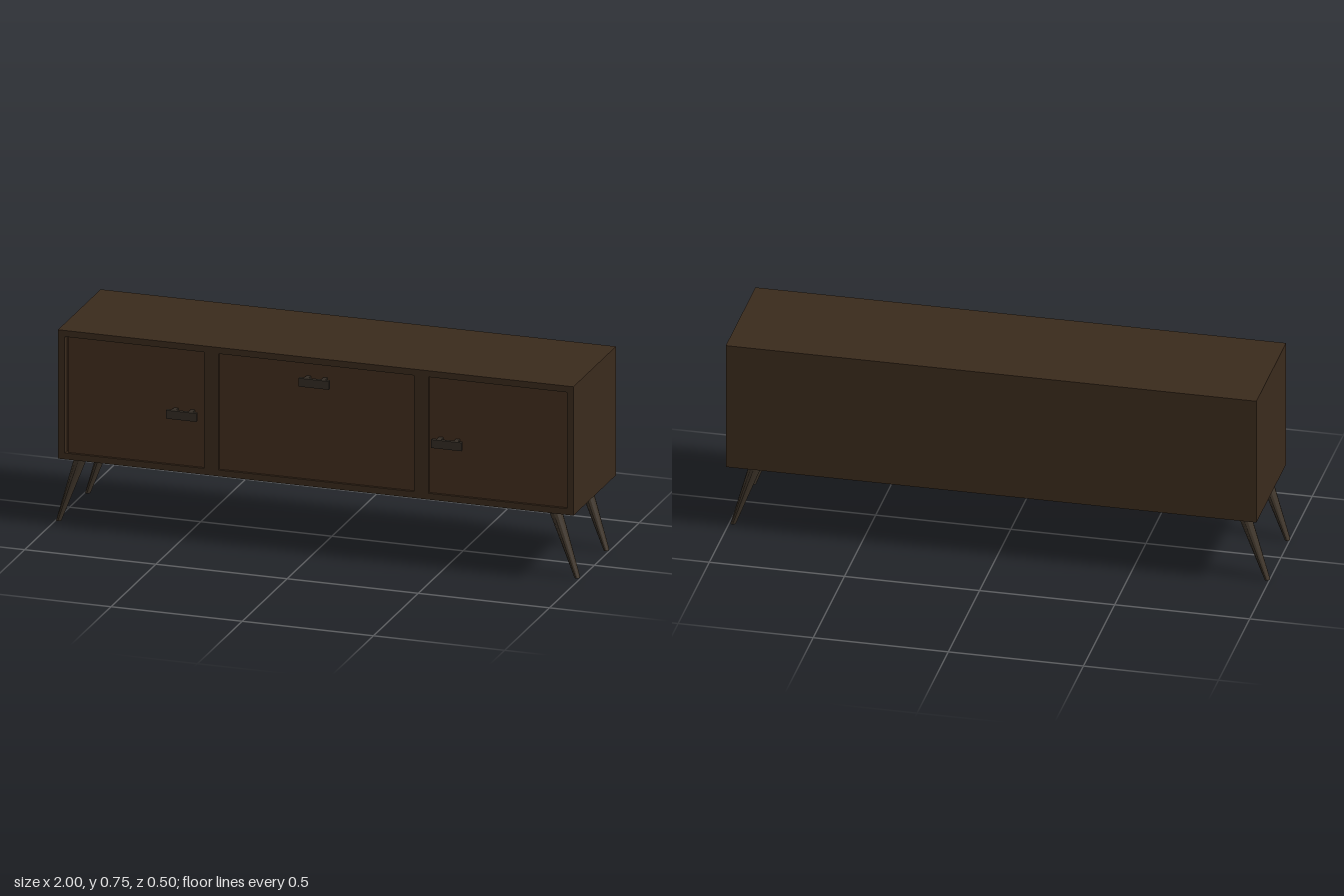
import * as THREE from 'three';

const mat = (color) => new THREE.MeshStandardMaterial({ color, flatShading: true });

export function createModel() {
  const group = new THREE.Group();
  const wood = mat(0x3a2a1c), panelWood = mat(0x422e1e);
  const legWood = mat(0x40362b), metal = mat(0x332c24);

  const add = (name, geometry, material, parent = group) => {
    const mesh = new THREE.Mesh(geometry, material);
    mesh.name = name;
    parent.add(mesh);
    return mesh;
  };
  // Box given by its two extremes on each axis
  const box = (name, [x0, x1], [y0, y1], [z0, z1], material, parent) =>
    add(name, new THREE.BoxGeometry(x1 - x0, y1 - y0, z1 - z0), material, parent)
      .position.set((x0 + x1) / 2, (y0 + y1) / 2, (z0 + z1) / 2);
  const rect = (target, x0, x1, y0, y1) => {
    target.moveTo(x0, y0).lineTo(x1, y0).lineTo(x1, y1).lineTo(x0, y1).closePath();
    return target;
  };

  // Cabinet body behind the front frame
  const X = [-0.967, 0.997], Y = [0.262, 0.753], backZ = 0.2, frontZ = 0.225;
  box('cabinetBody', X, Y, [-0.25, backZ], wood);

  // Front frame with three openings, each holding a recessed panel
  const openings = [[-0.942, -0.41], [-0.355, 0.39], [0.445, 0.973]];
  const frame = rect(new THREE.Shape(), ...X, ...Y);
  openings.forEach(([x0, x1], i) => {
    frame.holes.push(rect(new THREE.Path(), x0, x1, 0.286, 0.729));
    const gap = i === 0 ? 0.009 : 0; // narrow shadow gap beside the first door
    box(['rightDoor', 'centreFlap', 'leftDoor'][i], [x0 + gap, x1], [0.286, 0.729],
      [backZ, 0.215], panelWood);
  });
  add('frontFrame', new THREE.ExtrudeGeometry(frame, { depth: frontZ - backZ, bevelEnabled: false }), wood)
    .position.z = backZ;

  // Bar handles on two posts
  for (const [name, x, y] of [['rightHandle', -0.488, 0.486], ['centreHandle', 0.017, 0.664], ['leftHandle', 0.522, 0.486]]) {
    const handle = new THREE.Group();
    handle.name = name;
    handle.position.set(x, y, 0);
    group.add(handle);
    box('bar', [-0.058, 0.058], [-0.016, 0.016], [0.239, 0.253], metal, handle);
    for (const s of [-1, 1])
      box('post', [s * 0.032 - 0.008, s * 0.032 + 0.008], [-0.016, 0.016], [0.213, 0.239], metal, handle);
  }

  // Tapered legs, splayed outwards by shearing so that both ends stay level
  const height = 0.264;
  for (const side of [-1, 1]) {
    for (const [end, z] of [['front', 0.148], ['back', -0.176]]) {
      const leg = new THREE.CylinderGeometry(0.025, 0.014, height, 12);
      const p = leg.attributes.position;
      for (let i = 0; i < p.count; i++) {
        const down = 0.5 - p.getY(i) / height;
        p.setX(i, p.getX(i) * (1 - 0.3 * down) + side * 0.089 * down);
      }
      leg.computeVertexNormals();
      add(end + (side > 0 ? 'LeftLeg' : 'RightLeg'), leg, legWood)
        .position.set(side > 0 ? 0.897 : -0.901, height / 2, z);
    }
  }
  return group;
}
